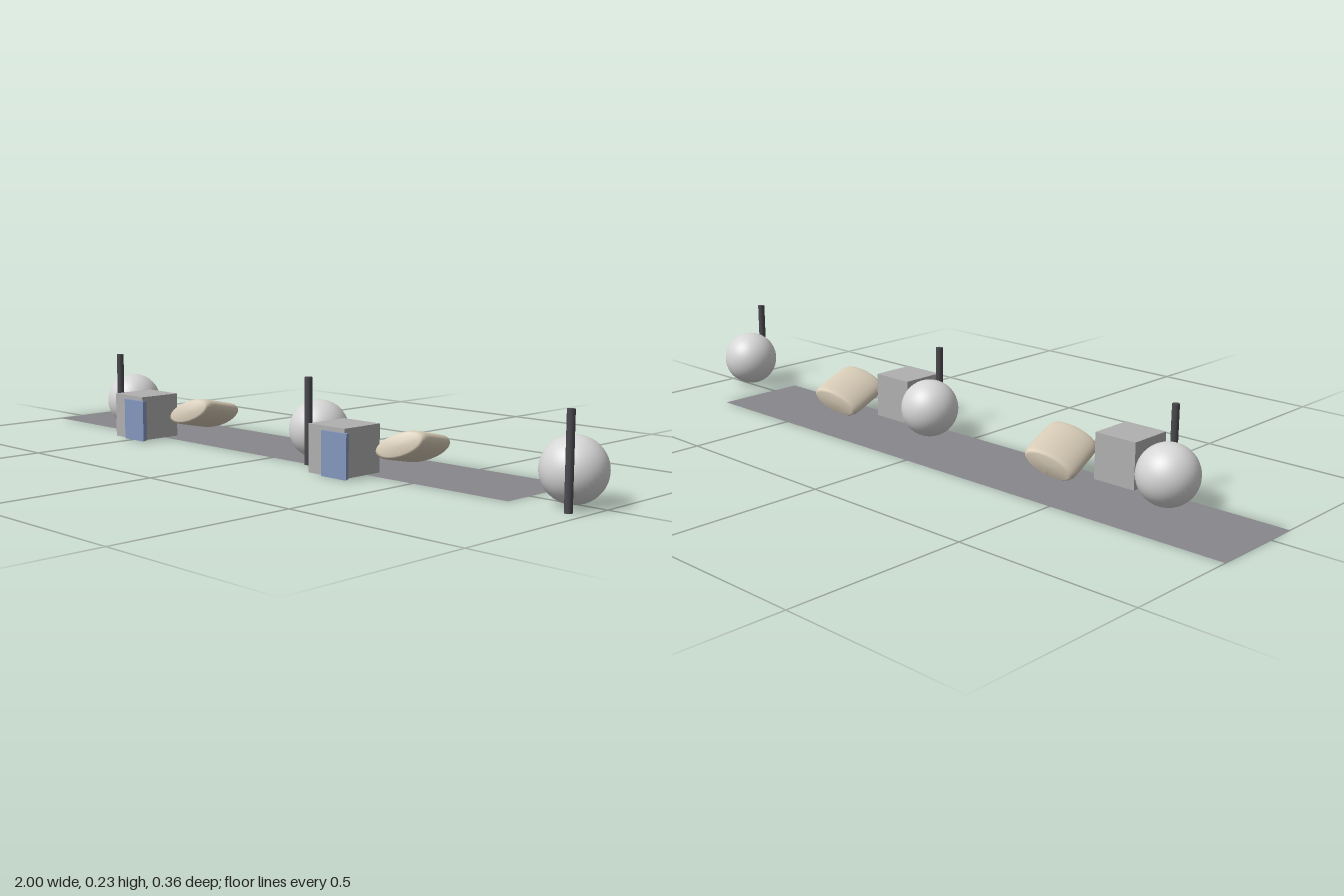
import * as THREE from 'three';

const mat = (name, color, side = THREE.FrontSide) => {
  const m = new THREE.MeshStandardMaterial({ color, side });
  m.name = name;
  return m;
};

export function createModel() {
  const model = new THREE.Group();
  model.name = 'model';
  const paleGrey = mat('paleGrey', 0xd6d6d6);
  const midGrey = mat('midGrey', 0xb0b0b0);
  const slabGrey = mat('slabGrey', 0x88878c, THREE.DoubleSide);
  const charcoal = mat('charcoal', 0x4a4a4f);
  const blue = mat('blue', 0x8397be);
  const tan = mat('tan', 0xd9cdb8);

  const add = (name, geometry, material, x, y, z) => {
    const mesh = new THREE.Mesh(geometry, material);
    mesh.name = name;
    mesh.position.set(x, y, z);
    model.add(mesh);
    return mesh;
  };

  // Flat ground strip
  const strip = new THREE.PlaneGeometry(1.79, 0.268).rotateX(-Math.PI / 2);
  add('groundStrip', strip, slabGrey, -0.105, 0, -0.05);

  const ball = new THREE.SphereGeometry(0.08, 40, 24);
  const post = new THREE.CylinderGeometry(0.01, 0.01, 0.231, 10);
  const block = new THREE.BoxGeometry(0.126, 0.126, 0.128);
  // Three-sided prism with one face to the front
  const prism = new THREE.CylinderGeometry(0.05, 0.05, 0.116, 3).toNonIndexed();
  prism.rotateY(Math.PI);
  prism.computeVertexNormals();

  // Flattened barrel with softened rims, its axis along z
  const profile = [
    [0, -0.088], [0.82, -0.087], [0.93, -0.082], [0.99, -0.07], [1, -0.05],
    [1, 0.05], [0.99, 0.07], [0.93, 0.082], [0.82, 0.087], [0, 0.088],
  ].map(([r, h]) => new THREE.Vector2(r, h));
  const barrel = new THREE.LatheGeometry(profile, 36);
  barrel.rotateX(Math.PI / 2);
  barrel.scale(0.072, 0.031, 1);
  barrel.computeVertexNormals();

  // Tilted and rolled axes of the barrel
  const axis = new THREE.Vector3(0.047, 0.035, 0.165).normalize();
  const up = axis.clone().cross(new THREE.Vector3(0.132, 0.055, -0.037)).normalize();
  const across = up.clone().cross(axis);
  const tilt = new THREE.Matrix4().makeBasis(across, up, axis);

  // Repeating row; the last step has only a ball and post
  for (let i = 0; i < 3; i++) {
    const x = i * 0.811;
    add('ball', ball, paleGrey, x - 0.705, 0.082, 0.012);
    add('post', post, charcoal, x - 0.66, 0.1175, 0.096);
    if (i === 2) continue;
    add('block', block, midGrey, x - 0.52, 0.065, 0.107);
    add('prism', prism, blue, x - 0.487, 0.059, 0.154);
    add('barrel', barrel, tan, x - 0.383, 0.072, -0.001).setRotationFromMatrix(tilt);
  }
  return model;
}
